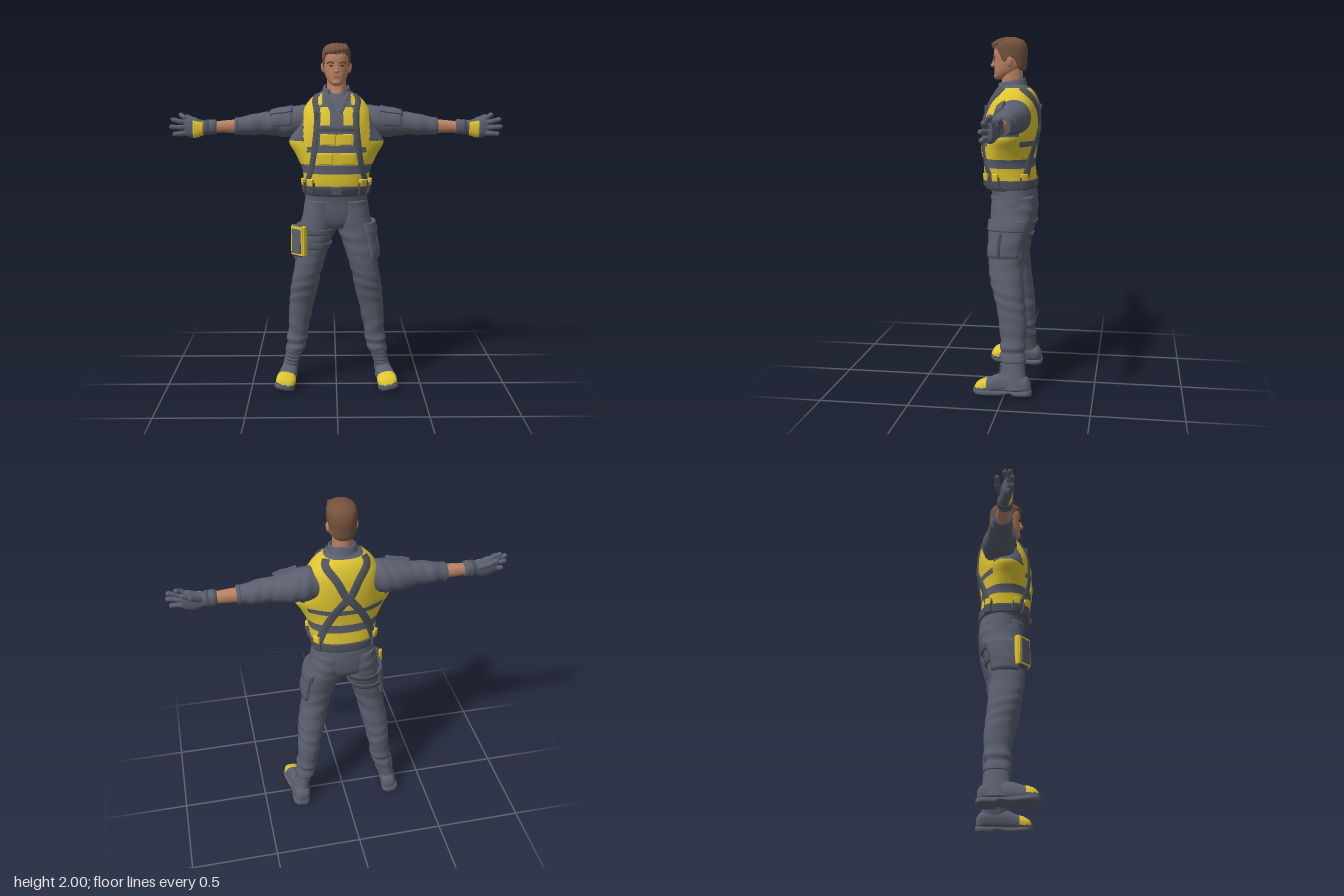
import * as THREE from 'three';
import { mergeVertices } from 'three/addons/utils/BufferGeometryUtils.js';
import { RoundedBoxGeometry } from 'three/addons/geometries/RoundedBoxGeometry.js';

const V = (x, y, z) => new THREE.Vector3(x, y, z);
const PI = Math.PI;
const flat = (name, color) => new THREE.MeshStandardMaterial({ name, color, side: THREE.DoubleSide });

// Smooth interpolation through rows whose first entry is the position.
function sample(rows, s, k) {
  let i = 0;
  while (i < rows.length - 2 && s > rows[i + 1][0]) i++;
  const slope = (q) => {
    const a = rows[Math.max(q - 1, 0)], b = rows[Math.min(q + 1, rows.length - 1)];
    return (b[k] - a[k]) / (b[0] - a[0]);
  };
  const A = rows[i], B = rows[i + 1], d = B[0] - A[0];
  const t = THREE.MathUtils.clamp((s - A[0]) / d, 0, 1), t2 = t * t, t3 = t2 * t;
  return A[k] * (2 * t3 - 3 * t2 + 1) + B[k] * (3 * t2 - 2 * t3) + d * (slope(i) * (t3 - 2 * t2 + t) + slope(i + 1) * (t3 - t2));
}

// Body surface from rows [position, centre, half width, high, low] along an axis.
function body(rows, axis = 'y', pow = 0.9, fold = 0) {
  const curve = (v) => Math.sign(v) * Math.abs(v) ** pow;
  return (a, s) => {
    const [c, r, hi, lo] = [1, 2, 3, 4].map((k) => sample(rows, s, k));
    const f = fold * Math.sin(s * 75 + 2.5 * Math.sin(a + s * 9)) * (0.6 + 0.4 * Math.sin(s * 23 + a));
    const w = (r + f) * curve(Math.sin(a)), h = (hi + lo) / 2 + ((hi - lo) / 2 + f) * curve(Math.cos(a));
    return axis === 'y' ? V(c + w, s, h) : axis === 'x' ? V(s, c - w, h) : V(c - w, h, s);
  };
}
function normalAt(f, a, s) {
  const e = 0.004;
  return f(a + 0.02, s).sub(f(a - 0.02, s)).cross(f(a, s + e).sub(f(a, s - e))).normalize();
}
const offset = (f, d) => (a, s) => f(a, s).addScaledVector(normalAt(f, a, s), d);

// Grid of points; paint picks a material slot for each cell.
function sheet(n, m, at, wrap = false, paint = null) {
  const cols = wrap ? n : n + 1, pts = [], slots = [[], []];
  for (let j = 0; j <= m; j++) for (let i = 0; i < cols; i++) pts.push(at(i, j));
  for (let j = 0; j < m; j++) for (let i = 0; i < n; i++) {
    const a = j * cols + i, b = j * cols + (i + 1) % cols, c = b + cols, d = a + cols;
    const mid = pts[a].clone().add(pts[b]).add(pts[c]).add(pts[d]).multiplyScalar(0.25);
    slots[paint && paint(mid) ? 1 : 0].push(a, b, c, a, c, d);
  }
  const g = new THREE.BufferGeometry().setFromPoints(pts);
  g.setIndex(slots[0].concat(slots[1]));
  if (paint) {
    g.addGroup(0, slots[0].length, 0);
    g.addGroup(slots[0].length, slots[1].length, 1);
  }
  g.computeVertexNormals();
  return g;
}
// Closed tube with capped ends.
function loft(f, s0, s1, m = 32, n = 32, paint = null) {
  return sheet(n, m + 2, (i, j) => {
    const s = s0 + (s1 - s0) * THREE.MathUtils.clamp((j - 1) / m, 0, 1);
    return j === 0 || j === m + 2 ? f(0, s).add(f(PI, s)).multiplyScalar(0.5) : f(i / n * 2 * PI, s);
  }, true, paint);
}
// Raised panel lying on a surface.
function patch(f, a0, a1, s0, s1, off, n = 14, m = 10) {
  const mid = (i, q) => THREE.MathUtils.clamp((i - 1) / (q - 2), 0, 1);
  return sheet(n, m, (i, j) => offset(f, i % n && j % m ? off : -0.004)(a0 + (a1 - a0) * mid(i, n), s0 + (s1 - s0) * mid(j, m)));
}
// Flat webbing following [angle, position] points on a surface.
function strap(f, path, width, off = 0.008, m = 28) {
  const curve = new THREE.CatmullRomCurve3(path.map(([a, s]) => V(a, s, 0)));
  const point = (t) => { const q = curve.getPoint(THREE.MathUtils.clamp(t, 0, 1)); return [f(q.x, q.y), normalAt(f, q.x, q.y)]; };
  return sheet(3, m, (i, j) => {
    const t = j / m, [p, n] = point(t);
    const side = point(t + 0.02)[0].sub(point(t - 0.02)[0]).cross(n).normalize();
    return p.addScaledVector(side, [-1, -1, 1, 1][i] * width / 2).addScaledVector(n, i % 3 ? off : -0.006);
  });
}
function rod(a, b, r) {
  const d = b.clone().sub(a), g = new THREE.CapsuleGeometry(r, d.length(), 4, 10);
  return g.applyQuaternion(new THREE.Quaternion().setFromUnitVectors(V(0, 1, 0), d.normalize())).translate(...a.add(b).multiplyScalar(0.5).toArray());
}
const block = (w, h, d, x, y, z, ry = 0) => mergeVertices(new RoundedBoxGeometry(w, h, d, 2, Math.min(w, h, d) * 0.25)).rotateY(ry).translate(x, y, z);
function mirrored(geo) {
  const g = geo.clone().scale(-1, 1, 1), ix = g.index.array;
  for (let i = 0; i < ix.length; i += 3) [ix[i], ix[i + 1]] = [ix[i + 1], ix[i]];
  return g;
}

export function createModel() {
  const model = new THREE.Group();
  model.name = 'worker';
  const cloth = flat('greyCloth', 0x5b5f6e), dark = flat('darkWebbing', 0x50545f), yellow = flat('safetyYellow', 0xdec530);
  const skin = flat('skin', 0xb98263), hair = flat('brownHair', 0x74523c), black = flat('darkLine', 0x2c2a2c);
  const add = (name, geo, mat) => { const m = new THREE.Mesh(geo, mat); m.name = name; model.add(m); };
  const right = (name, geo, mat) => add(name, mirrored(geo), mat);
  const both = (name, geo, mat) => { const N = name[0].toUpperCase() + name.slice(1); add('left' + N, geo, mat); right('right' + N, geo, mat); };

  // Torso with the painted safety vest, flaring to a point under each arm
  const torsoRows = [[1.15, 0, .174, .12, -.145], [1.2, 0, .182, .142, -.148], [1.3, 0, .19, .15, -.14], [1.38, 0, .195, .155, -.146], [1.45, 0, .2, .153, -.155],
    [1.52, 0, .2, .15, -.161], [1.58, 0, .197, .138, -.161], [1.64, 0, .182, .112, -.152], [1.7, 0, .135, .076, -.128], [1.74, 0, .07, .042, -.085]];
  const flare = [[1.15, 0], [1.29, .004], [1.38, .036], [1.45, .068], [1.5, .045], [1.57, .006], [1.74, 0]];
  const trunk = body(torsoRows, 'y', 0.82);
  const torso = (a, s) => trunk(a, s).add(V(Math.sign(Math.sin(a)) * Math.sin(a) ** 6 * sample(flare, s, 1), 0, 0));
  const within = (v, lo, hi) => v > lo && v < hi;
  const vestPaint = ({ x, y, z }) => {
    const w = Math.abs(x);
    if (within(y, 1.21, 1.28) || within(y, 1.33, 1.4)) return true;
    if (z < -.08) return within(y, 1.43, 1.725);
    if (w > .165 && within(y, 1.39, 1.455)) return true;
    if (y > 1.66) return y < 1.72 && w > .08;
    if (within(y, 1.44, 1.505) && w < .088) return true;
    if (within(y, 1.55, 1.65) && within(w, .03 + (1.65 - y) * .1, .09)) return true;
    return y > 1.43 && within(w, .122, .184);
  };
  add('vest', loft(torso, 1.15, 1.74, 59, 144, vestPaint), [cloth, yellow]);

  // Harness webbing, front and crossed back
  const at = (x, y, back) => {
    const a = Math.sign(x) * Math.asin(Math.min(1, Math.abs(x) / sample(torsoRows, y, 2)) ** (1 / 0.82));
    return [back ? PI - a : a, y];
  };
  both('frontStrap', strap(torso, [at(.1, 1.715), at(.107, 1.6), at(.112, 1.5), at(.13, 1.35), at(.165, 1.2)], .032), dark);
  both('backStrap', strap(torso, [at(.1, 1.715, 1), at(.06, 1.62, 1), at(0, 1.51, 1), at(-.085, 1.39, 1), at(-.15, 1.21, 1)], .042), dark);
  add('chestStrap', strap(torso, [at(-.11, 1.53), at(0, 1.53), at(.11, 1.53)], .026), dark);
  add('backPlate', block(.06, .07, .014, 0, 1.51, -.166), dark);
  both('upperVestPocket', patch(torso, at(.004, 1.47)[0], at(.084, 1.47)[0], 1.442, 1.503, .006), yellow);
  both('lowerVestPocket', patch(torso, at(.02, 1.36)[0], at(.1, 1.36)[0], 1.334, 1.396, .007), yellow);
  both('chestClip', block(.026, .05, .018, .109, 1.6, .122), dark);

  // Open shirt neck
  const neckRing = body([[1.69, 0, .092, .07, -.105], [1.73, 0, .08, .068, -.09], [1.775, 0, .067, .066, -.076]]);
  const neckline = (a, s) => neckRing(a, s).add(V(0, -.016 * (1 + Math.cos(a)), 0));
  add('collar', patch(neckline, .5, 2 * PI - .5, 1.7, 1.775, .006, 40, 8), cloth);
  both('lapel', strap(torso, [at(.06, 1.725), at(.045, 1.68), at(.016, 1.62)], .03, .009), cloth);

  // Belt and pouches
  add('belt', loft(offset(trunk, .008), 1.162, 1.212, 8, 64), dark);
  add('buckle', block(.06, .045, .02, 0, 1.185, .146), dark);
  for (const [a, w] of [[.8, .16], [1.25, .13], [2.2, .16]]) {
    both('beltPouch', patch(trunk, a - w, a + w, 1.165, 1.23, .018), dark);
    both('beltPouchTab', patch(trunk, a - w * .8, a + w * .8, 1.212, 1.25, .02), yellow);
  }

  // Trousers
  add('hips', loft(body([[.95, 0, .1, .06, -.1], [.99, 0, .165, .085, -.14], [1.05, 0, .188, .098, -.153], [1.12, 0, .18, .104, -.153], [1.19, 0, .172, .12, -.145]]), .955, 1.18, 20, 40), cloth);
  const leg = body([[.2, .245, .05, .022, -.11], [.23, .24, .06, .028, -.118], [.255, .236, .055, .018, -.112], [.28, .232, .064, .028, -.122], [.31, .228, .058, .024, -.118],
    [.4, .217, .065, .034, -.122], [.5, .204, .072, .05, -.112], [.58, .19, .079, .072, -.104], [.66, .176, .08, .092, -.096], [.75, .156, .083, .103, -.095],
    [.85, .136, .094, .104, -.108], [.95, .113, .103, .1, -.136], [1.05, .095, .094, .098, -.15], [1.14, .085, .085, .1, -.14]], 'y', .92, .0025);
  both('trouserLeg', loft(leg, .2, 1.12, 90, 36), cloth);
  add('cargoPocket', patch(leg, .5, 2.3, .78, .98, .014), cloth);
  add('cargoFlap', patch(leg, .45, 2.35, .93, .99, .021), cloth);
  add('cargoPleat', strap(leg, [[1.3, .79], [1.3, .92]], .02, .018), dark);

  // Thigh rig on the right leg
  for (const y of [.86, .94]) right('thighStrap', loft(offset(leg, .008), y - .016, y + .016, 4, 36), dark);
  right('thighPanel', patch(leg, 1.0, 2.4, .78, .97, .016), cloth);
  right('pouchBody', block(.078, .185, .055, .207, .895, .08, .75), dark);
  right('pouchTrim', block(.1, .176, .03, .212, .895, .086, .75), yellow);
  right('pouchFace', block(.09, .166, .006, .225, .895, .1, .75), yellow);
  right('pouchFront', block(.066, .14, .016, .227, .893, .102, .75), cloth);

  // Boots, tilted to stay square to the legs
  const tilt = (g) => g.translate(-.29, -.03, 0).rotateZ(.2).translate(.29, .03, 0);
  const shaft = body([[.05, .288, .048, .03, -.14], [.1, .277, .046, .028, -.13], [.15, .263, .046, .018, -.12], [.235, .24, .052, .018, -.114]]);
  both('bootShaft', loft(shaft, .05, .235, 20, 28), cloth);
  both('bootCuff', loft(offset(shaft, .006), .2, .225, 4, 28), cloth);
  for (let i = 0; i < 5; i++) both('lace', strap(shaft, [[-.6, .115 + i * .022], [0, .11 + i * .022], [.6, .115 + i * .022]], .008, .008, 10), dark);
  const foot = body([[-.152, .285, .025, .09, .03], [-.13, .285, .043, .12, .028], [-.05, .288, .045, .13, .026], [.02, .294, .05, .135, .025],
    [.07, .3, .055, .115, .022], [.12, .303, .057, .1, .02], [.15, .304, .045, .08, .02], [.163, .304, .022, .055, .03]], 'z', .8);
  both('boot', tilt(loft(foot, -.152, .163, 60, 48, (p) => p.z > .09 && p.y > .054)), [cloth, yellow]);
  const sole = body([[-.158, .285, .03, .045, .012], [-.135, .285, .048, .045, .01], [-.06, .288, .048, .045, .01], [-.045, .289, .046, .045, .022],
    [.02, .295, .05, .043, .012], [.11, .303, .06, .048, .012], [.15, .304, .048, .052, .016], [.166, .304, .024, .052, .026]], 'z', .6);
  both('bootSole', tilt(loft(sole, -.158, .166, 36, 32)), cloth);

  // Sleeves and forearms
  const arm = body([[.13, 1.565, .085, .035, -.12], [.2, 1.565, .09, .048, -.138], [.28, 1.557, .083, .046, -.138], [.36, 1.552, .072, .034, -.12], [.42, 1.549, .062, .027, -.108],
    [.47, 1.545, .062, .027, -.105], [.52, 1.539, .053, .02, -.092], [.575, 1.535, .046, .016, -.08]], 'x', .95, .003);
  both('sleeve', loft(arm, .13, .575, 60, 32), cloth);
  both('sleeveCuff', loft(offset(arm, .003), .555, .575, 4, 32), cloth);
  both('sleevePocket', patch(arm, -1.15, .15, .25, .365, .01), cloth);
  both('sleevePocketFlap', patch(arm, -1.2, -.65, .245, .37, .016), cloth);
  both('forearm', loft(body([[.54, 1.535, .04, .008, -.07], [.62, 1.534, .036, .005, -.066], [.7, 1.53, .031, .003, -.06]], 'x'), .54, .7, 12, 24), skin);

  // Gloves
  const hand = body([[.678, 1.531, .036, .01, -.062], [.692, 1.532, .043, .015, -.068], [.74, 1.53, .039, .01, -.062], [.755, 1.528, .042, .006, -.058], [.79, 1.525, .053, .008, -.054],
    [.83, 1.53, .058, .008, -.048], [.865, 1.532, .046, .002, -.04]], 'x', .85);
  both('glove', loft(hand, .678, .865, 30, 28), cloth);
  both('gloveStrap', loft(offset(hand, .004), .722, .738, 3, 28), dark);
  both('gloveGuard', patch(hand, -.75, 1.15, .754, .812, .004), yellow);
  const fingers = [[1.568, .882, 1.6, -.032], [1.549, .924, 1.574, -.008], [1.525, .931, 1.534, .004], [1.498, .915, 1.493, .002]];
  for (const [y, tx, ty, tz] of fingers) {
    const knuckle = V(.832, y, -.02), tip = V(tx, ty, tz), bend = knuckle.clone().lerp(tip, .55).add(V(0, 0, .008));
    both('fingerBase', rod(knuckle, bend.clone(), .0155), cloth);
    both('fingerTip', rod(bend.clone(), tip, .0135), cloth);
  }
  both('thumb', rod(V(.77, 1.545, -.05), V(.815, 1.57, -.07), .017), cloth);
  both('thumbTip', rod(V(.815, 1.57, -.07), V(.852, 1.587, -.072), .0135), cloth);

  // Head
  add('neck', loft(body([[1.69, 0, .06, .072, -.075], [1.73, 0, .055, .056, -.072], [1.77, 0, .053, .048, -.07], [1.84, 0, .054, .045, -.07]]), 1.69, 1.84, 16, 28), skin);
  const head = body([[1.765, 0, .02, .082, .03], [1.78, 0, .038, .09, .0], [1.8, 0, .053, .091, -.035], [1.83, 0, .065, .092, -.068], [1.87, 0, .072, .092, -.084],
    [1.91, 0, .073, .095, -.088], [1.95, 0, .067, .084, -.08], [1.985, 0, .03, .04, -.04]]);
  add('head', loft(head, 1.765, 1.985, 36, 40), skin);
  add('noseBridge', rod(V(0, 1.885, .088), V(0, 1.85, .102), .008), skin);
  add('noseTip', new THREE.SphereGeometry(1, 14, 10).scale(.014, .011, .014).translate(0, 1.844, .1), skin);
  add('mouth', patch(head, -.22, .22, 1.809, 1.812, .003), black);
  add('chin', new THREE.SphereGeometry(1, 14, 10).scale(.026, .016, .016).translate(0, 1.783, .08), skin);
  both('eye', patch(head, .28, .5, 1.871, 1.878, .003), black);
  both('eyebrow', strap(head, [[.16, 1.887], [.4, 1.895], [.68, 1.889]], .009, .006), hair);
  both('ear', new THREE.SphereGeometry(1, 14, 12).scale(.011, .029, .018).rotateZ(-.12).translate(.075, 1.862, -.005), skin);

  // Hair shell with a swept fringe
  const shell = body([[1.79, 0, .05, .05, -.078], [1.83, 0, .07, .085, -.088], [1.87, 0, .076, .096, -.093], [1.92, 0, .079, .1, -.096], [1.96, 0, .076, .1, -.088], [1.985, 0, .058, .078, -.066], [2, 0, .02, .03, -.025]]);
  const hairline = [[0, 1.935], [.6, 1.94], [.95, 1.925], [1.25, 1.868], [1.45, 1.868], [1.65, 1.89], [1.95, 1.87], [2.25, 1.825], [3.2, 1.815]];
  add('hair', sheet(48, 24, (i, j) => {
    const a = i / 48 * 2 * PI, low = sample(hairline, Math.min(a, 2 * PI - a), 1);
    const p = shell(a, low + (1.999 - low) * Math.max(0, Math.min(j - 1, 22)) / 22);
    return j === 0 ? p.multiply(V(.85, 1, .85)) : j === 24 ? V(0, 2, 0) : p;
  }, true), hair);
  for (let i = 0; i < 6; i++) {
    const x = -.05 + i * .02;
    add('fringeLock', rod(V(x, 1.948 + .003 * i, .094 - x * x * 9), V(x * .7 + .012, 1.982, .035), .0145), hair);
  }
  return model;
}
